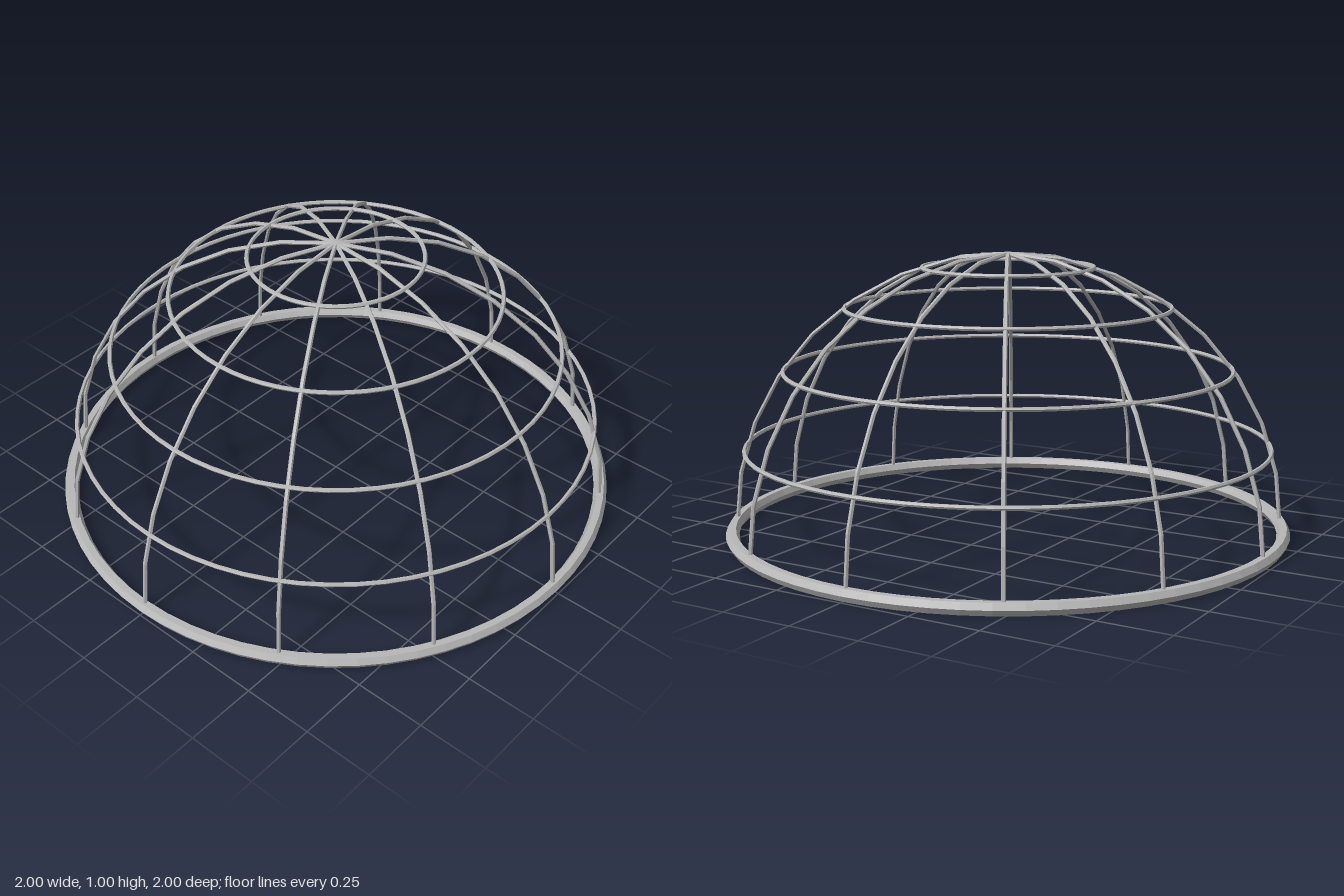
import * as THREE from 'three';

const R = 0.975;      // dome radius
const BASE_Y = 0.0145; // height of the dome's centre
const BAR = 0.0078;   // bar thickness (radius)

// Unshared vertices keep every side of a bar flat.
function faceted(geometry) {
  const g = geometry.toNonIndexed();
  g.computeVertexNormals();
  return g;
}

// Hexagonal ring lying flat
function ring(radius, tube) {
  return faceted(new THREE.TorusGeometry(radius, tube, 6, 64).rotateX(Math.PI / 2));
}

export function createModel() {
  const group = new THREE.Group();
  const metal = new THREE.MeshStandardMaterial({ color: 0xb8b8b8 });
  metal.name = 'grey metal';

  function add(name, geometry, y) {
    const mesh = new THREE.Mesh(geometry, metal);
    mesh.name = name;
    mesh.position.y = y;
    group.add(mesh);
    return mesh;
  }

  // Thick hexagonal rim at the bottom
  add('baseRing', ring(0.976, 0.024), 0.0208);

  // Horizontal hoops, every 18 degrees of elevation
  for (let i = 1; i <= 4; i++) {
    const a = (i * Math.PI) / 10;
    add('hoop' + i, ring(R * Math.cos(a), BAR), BASE_Y + R * Math.sin(a));
  }

  // Six half-circle arches crossing at the apex, each bar with a flat side outward
  const points = [];
  for (let i = 0; i <= 16; i++) {
    const a = (i * Math.PI) / 16;
    points.push(new THREE.Vector3(R * Math.cos(a), R * Math.sin(a), 0));
  }
  const arch = faceted(new THREE.TubeGeometry(new THREE.CatmullRomCurve3(points), 16, BAR, 6));
  for (let i = 0; i < 6; i++) {
    add('arch' + (i + 1), arch, BASE_Y).rotation.y = (i * Math.PI) / 6;
  }

  return group;
}
